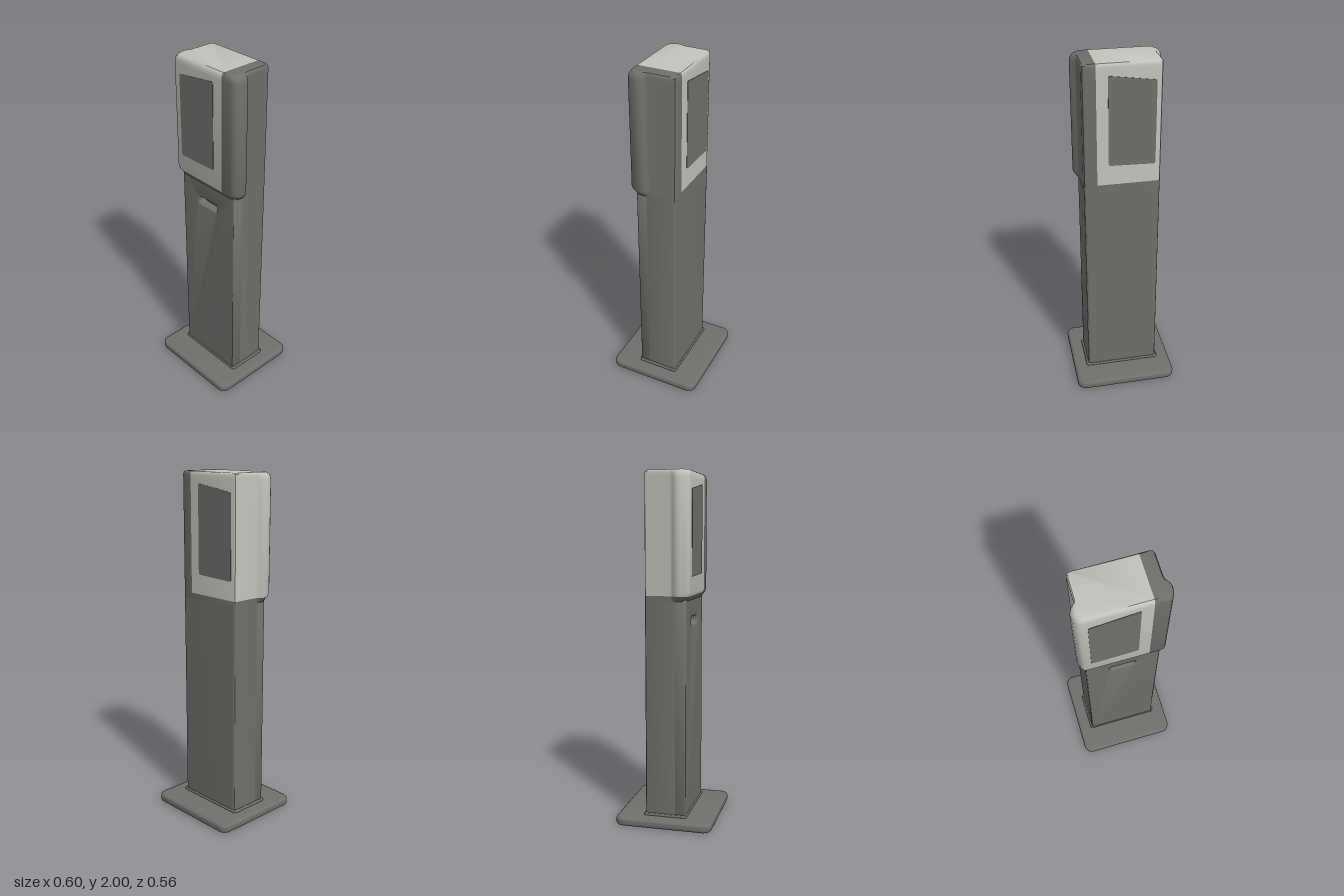
import * as THREE from 'three';
import { toCreasedNormals } from 'three/addons/utils/BufferGeometryUtils.js';

const darkGrey = new THREE.MeshStandardMaterial({ color: 0x6e706b });
darkGrey.name = 'dark grey';
const lightGrey = new THREE.MeshStandardMaterial({ color: 0xc2c3b9 });
lightGrey.name = 'light grey';

const SPLIT = 0.14; // x where the light shell meets the dark side cover

function addMesh(parent, name, geometry, material) {
  const mesh = new THREE.Mesh(geometry, material);
  mesh.name = name;
  parent.add(mesh);
  return mesh;
}

function roundedRect(Path, x0, y0, x1, y1, r) {
  const p = new Path();
  p.moveTo(x0 + r, y0);
  p.lineTo(x1 - r, y0);
  p.absarc(x1 - r, y0 + r, r, -Math.PI / 2, 0);
  p.lineTo(x1, y1 - r);
  p.absarc(x1 - r, y1 - r, r, 0, Math.PI / 2);
  p.lineTo(x0 + r, y1);
  p.absarc(x0 + r, y1 - r, r, Math.PI / 2, Math.PI);
  p.lineTo(x0, y0 + r);
  p.absarc(x0 + r, y0 + r, r, Math.PI, Math.PI * 1.5);
  return p;
}

// Extrusion with rounded edges that keeps the outline at the shape's own size
function softExtrude(shape, depth, bevel) {
  const geo = new THREE.ExtrudeGeometry(shape, {
    depth: depth - 2 * bevel, bevelEnabled: bevel > 0, bevelSize: bevel, bevelThickness: bevel,
    bevelOffset: -bevel, bevelSegments: 3, curveSegments: 6,
  });
  geo.translate(0, 0, bevel);
  return toCreasedNormals(geo, 0.7);
}

// Upright slab: plan outline (x, z) raised from y0
function slab(shape, y0, height, bevel) {
  return softExtrude(shape, height, bevel).rotateX(-Math.PI / 2).translate(0, y0, 0);
}

// Right half of the head's plan, from back to front, with the front bulge
function halfOutline({ w, f, b, h }) {
  const d = w - h;
  return [
    [h - 0.022, b], [h - 0.007, b + 0.006], [h, b + 0.022], [h, 0.03],
    [h + d * 0.25, 0.045], [h + d * 0.75, 0.058], [w, 0.078], [w - 0.003, 0.1],
    [w - 0.012, f - 0.02], [w - 0.024, f - 0.005], [w - 0.042, f],
  ];
}

const mirrored = (pts) => pts.map(([x, z]) => [-x, z]).reverse();
const outlines = {
  right: (s) => [[SPLIT, s.b], ...halfOutline(s), [SPLIT, s.f]],
  left: (s) => [[SPLIT, s.f], ...mirrored(halfOutline(s)), [SPLIT, s.b]],
  full: (s) => [...halfOutline(s), ...mirrored(halfOutline(s))],
};

// Skin between stacked plan sections, with optional caps
function loft(sections, outline, { closed = false, top = false, bottom = false }) {
  const rings = sections.map((s) => outline(s).map(([x, z]) => new THREE.Vector3(x, s.y, z)));
  const n = rings[0].length;
  const out = [];
  const tri = (...vs) => vs.forEach((v) => out.push(v.x, v.y, v.z));
  for (let k = 0; k < rings.length - 1; k++) {
    for (let i = 0; i < (closed ? n : n - 1); i++) {
      const j = (i + 1) % n;
      tri(rings[k][i], rings[k + 1][i], rings[k + 1][j]);
      tri(rings[k][i], rings[k + 1][j], rings[k][j]);
    }
  }
  const cap = (ring, up) => {
    const flat = ring.map((v) => new THREE.Vector2(v.x, v.z));
    for (const [a, b, c] of THREE.ShapeUtils.triangulateShape(flat, [])) {
      const facing = flat[b].clone().sub(flat[a]).cross(flat[c].clone().sub(flat[a])) < 0;
      if (facing === up) tri(ring[a], ring[b], ring[c]);
      else tri(ring[a], ring[c], ring[b]);
    }
  };
  if (top) cap(rings[rings.length - 1], true);
  if (bottom) cap(rings[0], false);
  const geo = new THREE.BufferGeometry();
  geo.setAttribute('position', new THREE.Float32BufferAttribute(out, 3));
  return toCreasedNormals(geo, 0.7);
}

function createModel() {
  const model = new THREE.Group();
  model.name = 'pedestal terminal';

  // Foot plate and the low collar around the column
  addMesh(model, 'footPlate', slab(roundedRect(THREE.Shape, -0.3, -0.28, 0.3, 0.28, 0.05), 0, 0.05, 0.015), darkGrey);
  addMesh(model, 'columnCollar', slab(roundedRect(THREE.Shape, -0.225, -0.125, 0.225, 0.125, 0.015), 0.045, 0.018, 0.006), darkGrey);

  // Column: rear body plus a front panel with the slot cut through it
  const column = new THREE.Group();
  column.name = 'column';
  model.add(column);
  const body = roundedRect(THREE.Shape, -0.213, -0.072, 0.213, 0.117, 0.014);
  addMesh(column, 'columnBody', slab(body, 0.04, 1.27, 0), darkGrey);
  const panel = roundedRect(THREE.Shape, -0.213, 0.04, 0.213, 1.31, 0.003);
  panel.holes.push(roundedRect(THREE.Path, -0.074, 1.147, 0.072, 1.19, 0.015));
  addMesh(column, 'frontPanelWithSlot', softExtrude(panel, 0.075, 0.012).translate(0, 0, 0.045), darkGrey);

  // Head: flared underside, light shell and dark side cover
  const head = new THREE.Group();
  head.name = 'head';
  model.add(head);
  const section = (y, w, f, b = -0.119, h = 0.216) => ({ y, w, f, b, h });
  const seam = section(1.318, 0.243, 0.138);
  const under = [section(1.288, 0.218, 0.119), section(1.3, 0.23, 0.127), seam];
  const upper = [
    seam, section(1.335, 0.248, 0.145), section(1.96, 0.248, 0.145), section(1.98, 0.243, 0.144),
    section(1.993, 0.233, 0.139, -0.117, 0.215), section(2, 0.222, 0.131, -0.11, 0.209),
  ];
  addMesh(head, 'headUnderside', loft(under, outlines.full, { closed: true, bottom: true }), darkGrey);
  addMesh(head, 'headShell', loft(upper, outlines.left, { top: true }), lightGrey);
  addMesh(head, 'headSideCover', loft(upper, outlines.right, { top: true }), darkGrey);

  // Screens with slanted tops, front and back
  const screen = new THREE.Shape();
  screen.moveTo(-0.17, 1.425);
  screen.lineTo(0.065, 1.432);
  screen.quadraticCurveTo(0.077, 1.433, 0.077, 1.445);
  screen.lineTo(0.077, 1.925);
  screen.quadraticCurveTo(0.077, 1.937, 0.065, 1.935);
  screen.lineTo(-0.17, 1.902);
  screen.quadraticCurveTo(-0.182, 1.9, -0.182, 1.888);
  screen.lineTo(-0.182, 1.437);
  screen.quadraticCurveTo(-0.182, 1.425, -0.17, 1.425);
  const plate = new THREE.ExtrudeGeometry(screen, { depth: 0.004, bevelEnabled: false });
  addMesh(head, 'frontScreen', plate.clone().translate(0, 0, 0.143), darkGrey);
  addMesh(head, 'backScreen', plate.clone().translate(0, 0, -0.121), darkGrey);

  return model;
}

export { createModel };
